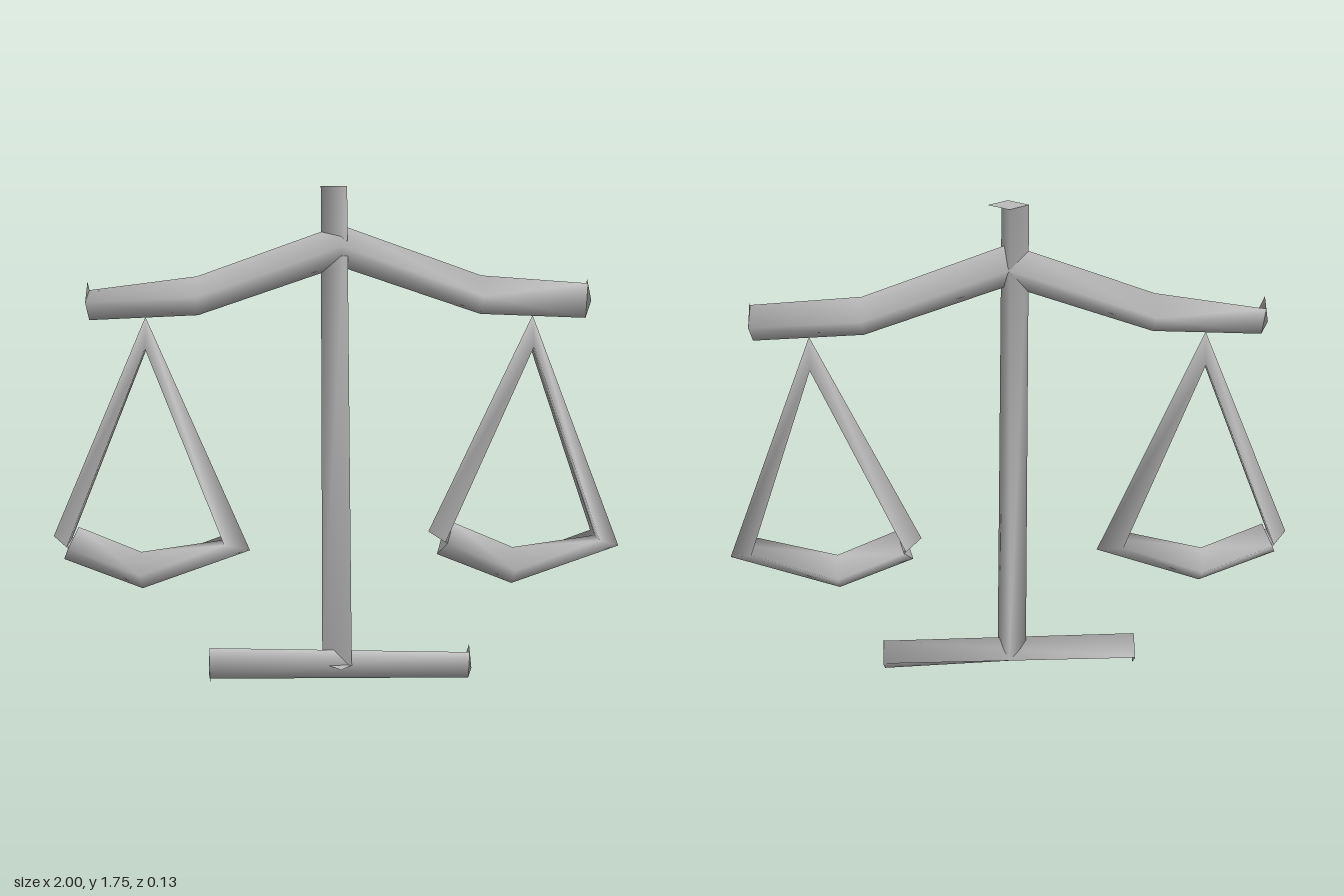
import * as THREE from 'three';
import { mergeVertices } from 'three/addons/utils/BufferGeometryUtils.js';

const R = 0.065; // half diagonal of the square bars
const FULL = [[1, 0], [0, R], [-1, 0], [0, -R]]; // outer, front, inner, back

// Four corners around (cx, cy); each corner is [fraction of u, z].
const section = (cx, cy, ux, uy, corners = FULL) =>
  corners.map(([f, z]) => new THREE.Vector3(cx + ux * f, cy + uy * f, z));

function geometryFrom(triangles) {
  const g = new THREE.BufferGeometry();
  g.setAttribute('position', new THREE.Float32BufferAttribute(triangles.flatMap((p) => p.toArray()), 3));
  return g;
}

// Smooth bar lofted through sections, with flat square end caps.
function bar(name, material, sections, startCap, endCap) {
  const tris = [];
  for (let s = 0; s < sections.length - 1; s++) {
    const a = sections[s], b = sections[s + 1];
    for (let i = 0; i < 4; i++) {
      const j = (i + 1) % 4;
      for (const t of [[a[i], a[j], b[j]], [a[i], b[j], b[i]]]) {
        const area = t[1].clone().sub(t[0]).cross(t[2].clone().sub(t[0])).length();
        if (area > 1e-7) tris.push(...t);
      }
    }
  }
  const sides = mergeVertices(geometryFrom(tris));
  sides.computeVertexNormals();

  const [p, q, r, s] = startCap, [a, b, c, d] = endCap;
  const caps = geometryFrom([p, r, q, p, s, r, a, b, c, a, c, d]);
  caps.computeVertexNormals();

  const group = new THREE.Group();
  group.name = name;
  for (const [part, g] of [['Sides', sides], ['Ends', caps]]) {
    const mesh = new THREE.Mesh(g, material);
    mesh.name = name + part;
    group.add(mesh);
  }
  return group;
}

export function createModel() {
  const metal = new THREE.MeshStandardMaterial({ color: 0xbcbcbc, side: THREE.DoubleSide });
  metal.name = 'grey metal';
  const model = new THREE.Group();
  model.name = 'balanceScale';

  // Foot: a bar worn to three sides, leaning slightly along its length
  model.add(bar('foot', metal, [
    section(-0.47, 0.07, 0, R, [[1, 0], [-0.66, 0.022], [-0.66, 0.022], [0, -R]]),
    section(0.467, 0.07, 0, R, [[0.65, 0.022], [0.65, 0.022], [-1, 0], [0, -R]]),
  ], section(-0.47, 0.07, 0, R), section(0.467, 0.07, 0, R)));

  // Post: three-sided, with square ends
  model.add(bar('post', metal, [
    section(0, 0.07, -R, 0, [[1, 0], [-0.62, 0.025], [-0.62, 0.025], [0, -R]]),
    section(0, 1.755, -R, 0, [[1, 0], [-0.31, 0.045], [-0.31, 0.045], [0, -R]]),
  ], section(0, 0.07, -R, 0), section(0, 1.755, -R, 0)));

  // Beam: peaked in the middle, levelling out at the arms
  model.add(bar('beam', metal, [
    section(-0.845, 1.38, 0, R, [[0.5, -0.033], [0, R], [-1, 0], [0.5, -0.033]]),
    section(-0.48, 1.395, 0, R),
    section(0, 1.56, 0, 0.069),
    section(0.477, 1.395, 0, R),
    section(0.84, 1.38, 0, R, [[0.82, 0.012], [0.82, 0.012], [-1, 0], [0, -R]]),
  ], section(-0.845, 1.38, 0, R), section(0.84, 1.38, 0, R)));

  // Pans: one bar runs up the hanger, over its top, down and back along the bowl
  for (const [name, x] of [['rightPan', -0.657], ['leftPan', 0.657]]) {
    const pan = bar(name, metal, [
      section(-0.285, 0.535, -0.06, 0.026, [[1, 0], [0.1, 0.058], [0.1, 0], [0.1, -0.058]]),
      section(0, 1.164, 0, 0.161, [[1, 0], [0.36, 0.042], [0.36, 0], [0.36, -0.042]]),
      section(0.251, 0.54, 0.087, -0.04, [[1, 0], [0, R], [0, 0], [0, -R]]),
      section(-0.043, 0.432, 0, -0.067),
      section(-0.285, 0.535, -0.028, -0.058),
    ], section(-0.285, 0.535, -0.06, 0.026), section(-0.285, 0.535, -0.028, -0.058));
    pan.position.x = x;
    model.add(pan);
  }
  return model;
}
